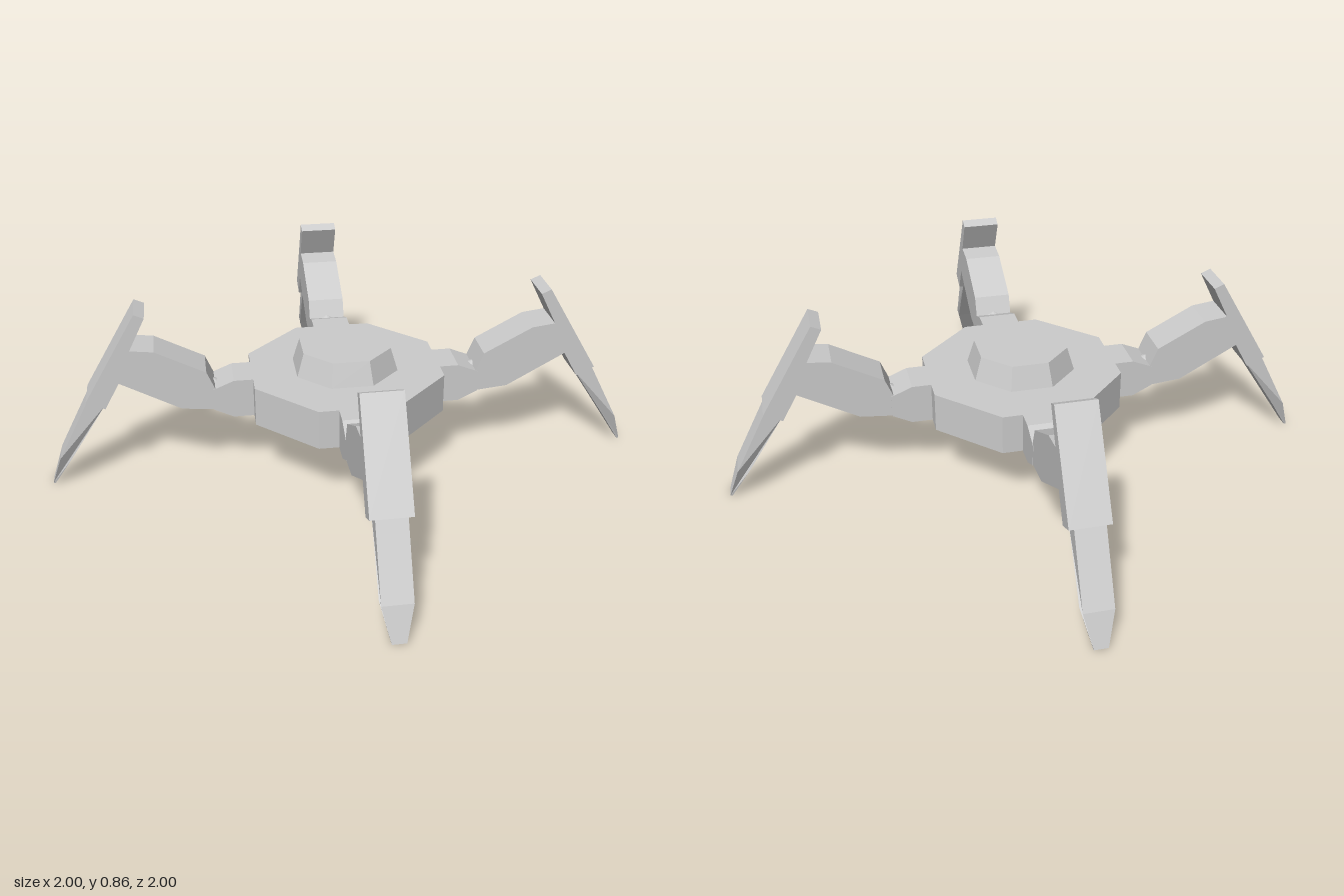
import * as THREE from 'three';

const material = new THREE.MeshStandardMaterial({ color: 0xcccccc, flatShading: true });

function part(name, geometry, y = 0) {
  const mesh = new THREE.Mesh(geometry, material);
  mesh.name = name;
  mesh.position.y = y;
  return mesh;
}

// Octagonal block with flats facing the axes, standing on y
function octagon(name, topRadius, bottomRadius, y, height) {
  const geometry = new THREE.CylinderGeometry(topRadius, bottomRadius, height, 8);
  geometry.rotateY(Math.PI / 8);
  return part(name, geometry, y + height / 2);
}

// Side profile (distance from centre, height) widened evenly to both sides
function slab(profile, halfWidth) {
  const shape = new THREE.Shape(profile.map(([r, y]) => new THREE.Vector2(r, y)));
  const geometry = new THREE.ExtrudeGeometry(shape, { depth: halfWidth * 2, bevelEnabled: false });
  geometry.translate(0, 0, -halfWidth);
  return geometry;
}

function createLeg() {
  const leg = new THREE.Group();
  leg.name = 'leg';

  leg.add(part('hip', slab([
    [0.38, 0.32], [0.53, 0.32], [0.62, 0.365], [0.62, 0.465], [0.523, 0.505], [0.38, 0.505],
  ], 0.09)));

  // Faceted joint between hip and upper leg
  const joint = new THREE.SphereGeometry(0.055, 8, 5);
  joint.scale(1, 1.25, 1);
  joint.translate(0.615, 0.415, 0);
  leg.add(part('hipJoint', joint));

  leg.add(part('upperLeg', slab([
    [0.606, 0.365], [0.763, 0.38], [1.036, 0.53], [1.06, 0.58], [1.0, 0.69],
    [0.975, 0.687], [0.87, 0.674], [0.644, 0.556], [0.606, 0.465],
  ], 0.088)));

  // Broad armour plate rising above the knee
  leg.add(part('shinPlate', slab([
    [0.9, 0.84], [0.98, 0.68], [1.036, 0.53], [1.106, 0.405], [1.19, 0.445], [0.945, 0.86],
  ], 0.088)));

  // Foot spike, narrowing in width towards the ground
  const foot = slab([
    [1.095, 0.43], [1.11, 0.41], [1.287, 0.14], [1.376, 0], [1.385, 0.003], [1.335, 0.15], [1.18, 0.45],
  ], 0.065);
  const p = foot.attributes.position;
  for (let i = 0; i < p.count; i++) {
    if (p.getY(i) < 0.1) p.setZ(i, p.getZ(i) * 0.46);
  }
  foot.computeVertexNormals();
  leg.add(part('foot', foot));
  return leg;
}

export function createModel() {
  const model = new THREE.Group();
  model.name = 'fourLeggedWalker';
  model.add(octagon('body', 0.471, 0.471, 0.32, 0.185));
  model.add(octagon('turret', 0.218, 0.252, 0.505, 0.11));

  // Four identical legs on the diagonals
  for (let i = 0; i < 4; i++) {
    const leg = createLeg();
    leg.rotation.y = Math.PI / 4 + i * Math.PI / 2;
    model.add(leg);
  }
  return model;
}
